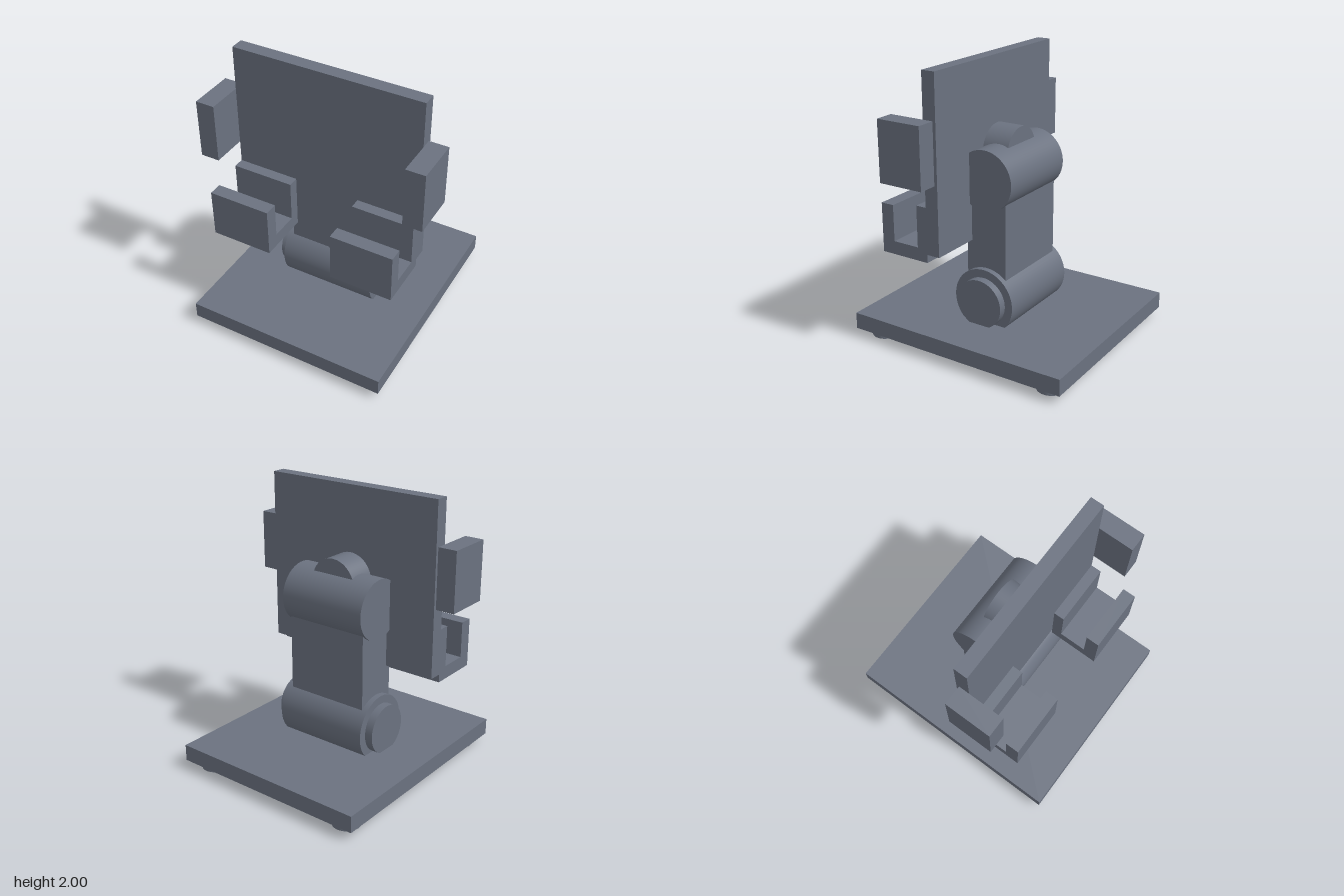
import * as THREE from 'three';

export function createModel() {
  const model = new THREE.Group();
  const material = new THREE.MeshStandardMaterial({ color: 0x6b7280 });

  const add = (name, geometry, x = 0, y = 0, z = 0) => {
    const mesh = new THREE.Mesh(geometry, material);
    mesh.name = name;
    mesh.position.set(x, y, z);
    model.add(mesh);
    return mesh;
  };

  // Box given by its minimum and maximum on each axis
  const box = (name, [x0, x1], [y0, y1], [z0, z1]) =>
    add(name, new THREE.BoxGeometry(x1 - x0, y1 - y0, z1 - z0),
      (x0 + x1) / 2, (y0 + y1) / 2, (z0 + z1) / 2);

  // Cylinder lying along x
  const barrel = (name, radius, length, y) =>
    add(name, new THREE.CylinderGeometry(radius, radius, length, 64).rotateZ(Math.PI / 2), 0, y, 0);

  // Base plate on four round feet
  box('basePlate', [-0.744, 0.744], [0.06, 0.18], [-0.84, 0.84]);
  for (const x of [-0.596, 0.596])
    for (const z of [-0.693, 0.693])
      add('foot', new THREE.CylinderGeometry(0.098, 0.098, 0.06, 40), x, 0.03, z);

  // Lower hinge with its protruding pin, the arm, and the upper hinge
  barrel('lowerHinge', 0.236, 0.714, 0.338);
  barrel('lowerHingePin', 0.177, 0.83, 0.338);
  box('arm', [-0.315, 0.315], [0.34, 1.21], [-0.157, 0.157]);
  barrel('upperHinge', 0.216, 0.674, 1.21);

  // Swivel boss joining the upper hinge to the back plate
  add('swivelBoss', new THREE.CylinderGeometry(0.177, 0.177, 0.22, 64).rotateX(Math.PI / 2), 0, 1.348, 0.03);

  // Back plate
  box('backPlate', [-0.692, 0.692], [0.757, 2], [0.118, 0.217]);

  // J-shaped support hook, profile drawn as (z, y)
  const profile = new THREE.Shape([
    [0.217, 0.698], [0.593, 0.698], [0.593, 1.053], [0.495, 1.053],
    [0.495, 0.793], [0.295, 0.793], [0.295, 1.09], [0.217, 1.09],
  ].map(([z, y]) => new THREE.Vector2(z, y)));
  const hookWidth = 0.452;
  const hook = new THREE.ExtrudeGeometry(profile, { depth: hookWidth, bevelEnabled: false })
    .rotateY(-Math.PI / 2)
    .scale(1, 1, 1)
    .translate(hookWidth / 2, 0, 0);

  // Support hooks and side clamps, mirrored left and right
  for (const [side, s] of [['left', 1], ['right', -1]]) {
    add(side + 'SupportHook', hook, s * 0.466, 0, 0);
    add(side + 'SideClamp', new THREE.BoxGeometry(0.138, 0.43, 0.336), s * 0.761, 1.467, 0.308);
  }

  return model;
}
